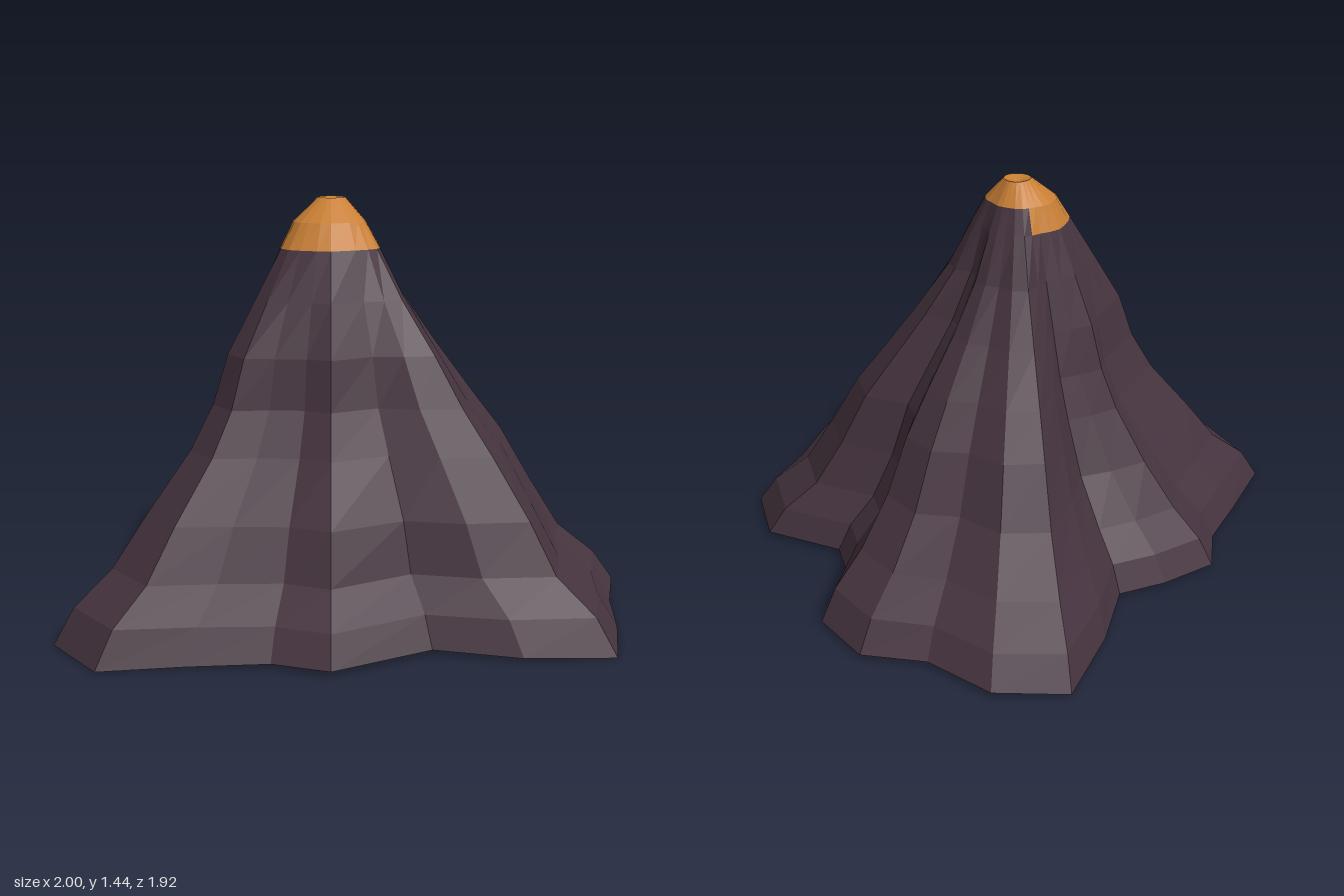
import * as THREE from 'three';

// Rim outline (x, z) of the draped cone, walked from the back round by +x to the front
const RIM = [
  [-0.385, -0.92], [-0.12, -0.96], [0.12, -0.83], [0.36, -0.82], [0.54, -0.65],
  [0.53, -0.33], [0.59, -0.2], [0.89, -0.12], [1.0, 0.12], [0.94, 0.35],
  [0.91, 0.59], [0.85, 0.855], [0.54, 0.86], [0.25, 0.79], [-0.09, 0.96],
  [-0.28, 0.877], [-0.55, 0.87], [-0.84, 0.88], [-1.0, 0.65], [-0.91, 0.35],
  [-0.83, 0.11], [-0.83, -0.09], [-0.66, -0.235], [-0.5, -0.33], [-0.47, -0.6],
];

// Rings from the tip down: height, share of the rim radius, strength of the lobes,
// and how far the wall bulges towards +x and +z
const RINGS = [
  [1.44, 0.055, 0.1, 0, 0],
  [1.36, 0.14, 0.15, -0.01, 0.025],
  [1.27, 0.19, 0.3, -0.01, 0.035],
  [1.1, 0.27, 0.65, -0.015, 0.045],
  [0.92, 0.37, 0.9, -0.005, 0.04],
  [0.75, 0.455, 1, 0.025, 0.012],
  [0.6, 0.55, 1, 0.04, 0.01],
  [0.4, 0.68, 1, 0.02, 0.03],
  [0.23, 0.8, 1, 0, 0],
  [0.12, 0.93, 1, 0, 0],
  [0, 1, 1, 0, 0],
];

const AXIS = { x: -0.05, z: 0.12 };
const MEAN = 0.88;
const N = RIM.length;

// Point on ring r at column i
function point(r, i) {
  const [y, share, lobe, bulgeX, bulgeZ] = RINGS[r];
  const [x, z] = RIM[i % N];
  const dx = x - AXIS.x, dz = z - AXIS.z;
  const radius = Math.hypot(dx, dz);
  const k = share * (lobe + (1 - lobe) * MEAN / radius)
    + (bulgeX * dx + bulgeZ * dz) / (radius * radius);
  // the hem hangs lowest at its corners
  const hem = r === RINGS.length - 1 ? 0.02 - 0.027 * Math.abs(x * z) : 0;
  return [AXIS.x + dx * k, y + hem, AXIS.z + dz * k];
}

function makeMesh(name, triangles, material) {
  const geometry = new THREE.BufferGeometry();
  geometry.setAttribute('position', new THREE.Float32BufferAttribute(triangles.flat(), 3));
  geometry.computeVertexNormals();
  const mesh = new THREE.Mesh(geometry, material);
  mesh.name = name;
  return mesh;
}

// Small ring with leaning sticks, hidden under the cone
function makeHearth(ringMaterial, stickMaterial) {
  const hearth = new THREE.Group();
  hearth.name = 'hearth';
  const ring = new THREE.Mesh(new THREE.TorusGeometry(0.06, 0.02, 6, 12), ringMaterial);
  ring.name = 'hearthRing';
  ring.rotation.x = Math.PI / 2;
  hearth.add(ring);
  for (let i = 0; i < 7; i++) {
    const pivot = new THREE.Group();
    pivot.name = 'stickPivot';
    pivot.rotation.y = i * Math.PI * 2 / 7;
    const stick = new THREE.Mesh(new THREE.CylinderGeometry(0.006, 0.009, 0.17, 5), stickMaterial);
    stick.name = 'stick';
    stick.position.set(0.03, 0.085, 0);
    stick.rotation.z = 0.25;
    pivot.add(stick);
    hearth.add(pivot);
  }
  hearth.position.set(-0.02, 0.14, 0.15);
  return hearth;
}

export function createModel() {
  const group = new THREE.Group();
  group.name = 'drapedCone';

  const dark = new THREE.MeshStandardMaterial({ color: 0x46343f, flatShading: true, side: THREE.DoubleSide });
  dark.name = 'dark plum';
  const orange = new THREE.MeshStandardMaterial({ color: 0xc87f35, flatShading: true, side: THREE.DoubleSide });
  orange.name = 'orange';

  const tip = [], skirt = [];

  // Dimpled cap closing the tip
  const dimple = [AXIS.x, 1.425, AXIS.z];
  for (let i = 0; i < N; i++) tip.push(dimple, point(0, i + 1), point(0, i));

  // Folded walls; the tip colour reaches one ring lower on the front and the -x side
  for (let r = 0; r < RINGS.length - 1; r++) {
    for (let i = 0; i < N; i++) {
      const a = point(r, i), b = point(r, i + 1);
      const c = point(r + 1, i + 1), d = point(r + 1, i);
      const isTip = r === 0 || (r === 1 && i >= 9 && i < 24);
      (isTip ? tip : skirt).push(a, b, c, a, c, d);
    }
  }

  group.add(
    makeMesh('tip', tip, orange),
    makeMesh('foldedSkirt', skirt, dark),
    makeHearth(orange, dark),
  );
  return group;
}
